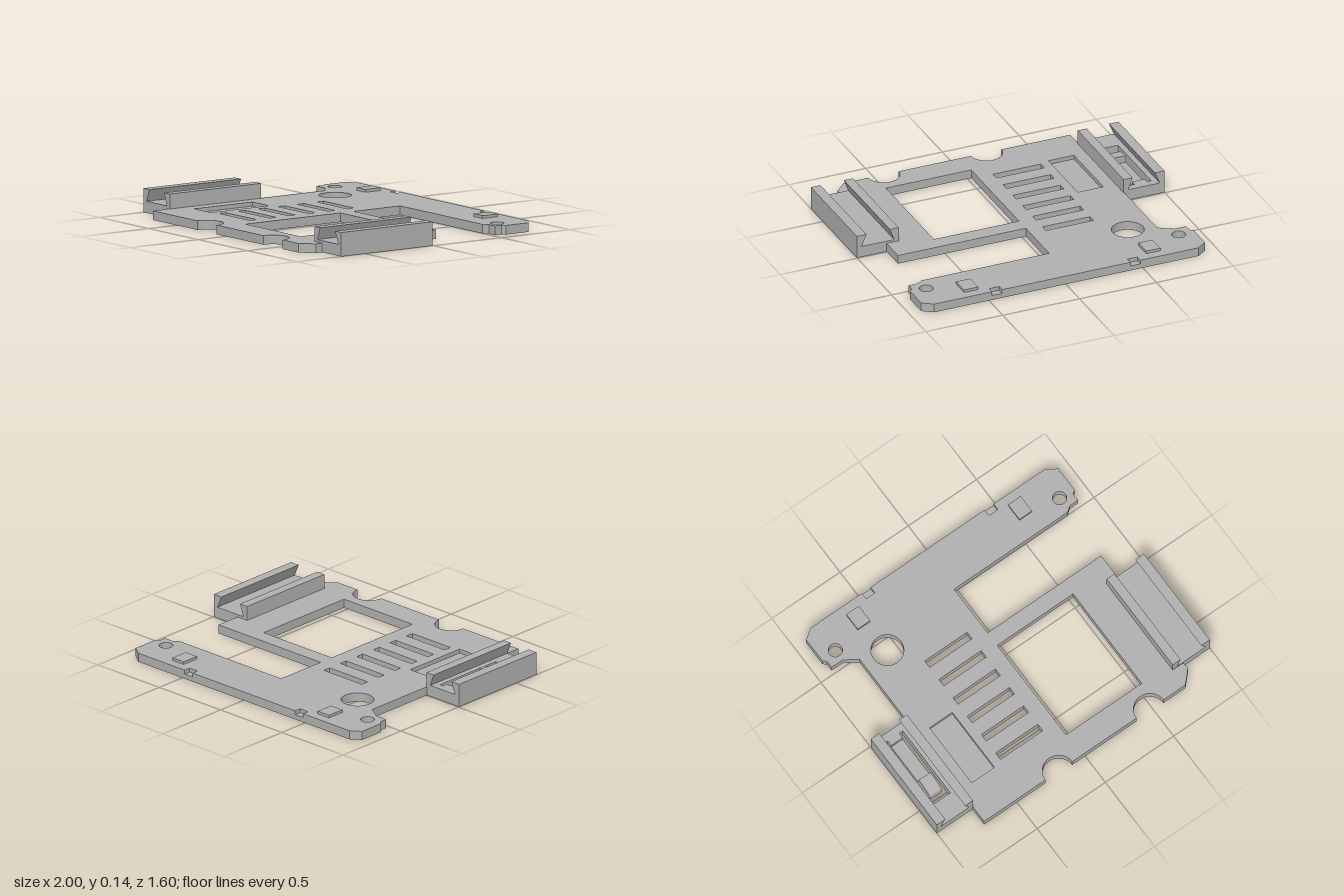
import * as THREE from 'three';

const T = 0.055;      // plate thickness
const FLOOR = 0.03;   // floor height of the shallow recesses
const FRONT = 0.795;

export function createModel() {
  const group = new THREE.Group();
  const grey = new THREE.MeshStandardMaterial({ color: 0xb0b0b0 });
  grey.name = 'plain grey';

  const add = (name, geometry, x = 0, y = 0, z = 0) => {
    const mesh = new THREE.Mesh(geometry, grey);
    mesh.name = name;
    mesh.position.set(x, y, z);
    group.add(mesh);
  };

  // Plan shapes take (x, z) and are extruded upwards
  const slab = (shape, depth) =>
    new THREE.ExtrudeGeometry(shape, { depth, bevelEnabled: false, curveSegments: 24 }).rotateX(-Math.PI / 2);
  const rect = (x0, x1, z0, z1, Type = THREE.Path) =>
    new Type([[x0, -z0], [x0, -z1], [x1, -z1], [x1, -z0]].map(p => new THREE.Vector2(...p)));
  const circle = (x, z, r) => new THREE.Path().absarc(x, -z, r, 0, Math.PI * 2);
  // Side profiles in (x, y) are extruded along z
  const profile = (points, depth) => new THREE.ExtrudeGeometry(
    new THREE.Shape(points.map(p => new THREE.Vector2(...p))), { depth, bevelEnabled: false });

  // Plate outline; the upper layer also has small notches in the back edge
  const outline = (notched) => {
    const s = new THREE.Shape();
    const line = (pts) => pts.forEach(([x, z]) => s.lineTo(x, -z));
    s.moveTo(-0.74, 0.47);
    line([[-0.74, FRONT]]);
    for (const x of [-0.193, 0.475]) {
      line([[x - 0.098, FRONT]]);
      s.absarc(x, -FRONT, 0.098, Math.PI, 0, true);
    }
    line([[0.735, FRONT], [0.807, 0.72], [0.807, -0.16], [-0.025, -0.16], [-0.025, -0.5],
      [0.807, -0.5], [0.84, -0.525], [0.9, -0.525], [0.9, -0.572], [0.922, -0.59],
      [0.922, -0.755], [0.858, -0.8]]);
    if (notched) {
      for (const [a, b] of [[0.48, 0.415], [-0.42, -0.485]])
        line([[a, -0.8], [a, -0.757], [b, -0.757], [b, -0.8]]);
    }
    line([[-0.862, -0.8], [-0.925, -0.755], [-0.925, -0.59], [-0.905, -0.572],
      [-0.905, -0.525], [-0.825, -0.525]]);
    s.closePath();

    // Window, round holes and ventilation slots
    s.holes.push(rect(-0.025, 0.53, -0.062, 0.635), circle(-0.572, -0.42, 0.098));
    for (const x of [-0.823, 0.82]) s.holes.push(circle(x, -0.6, 0.042));
    for (let i = 0; i < 6; i++) {
      const z = -0.234 + i * 0.1435;
      s.holes.push(rect(-0.432, -0.122, z, z + 0.05));
    }
    if (notched) s.holes.push(rect(-0.656, -0.49, 0.125, 0.553));
    return s;
  };
  add('lowerPlate', slab(outline(false), FLOOR));
  add('upperPlate', slab(outline(true), T - FLOOR), 0, FLOOR);

  // Raised pads near the back corners
  for (const x of [-0.595, 0.59])
    add('pad', new THREE.BoxGeometry(0.092, 0.03, 0.115), x, 0.057, -0.683);

  // Side rails: flat base and two undercut lips
  const Z0 = 0.005, LEN = 0.67, BASE = 0.07, TOP = 0.145;
  for (const side of [-1, 1]) {
    const name = side < 0 ? 'right' : 'left';
    const inner = side < 0 ? 0.735 : 0.728;
    const base = rect(Math.min(side * inner, side), Math.max(side * inner, side), Z0, Z0 + LEN, THREE.Shape);
    if (side < 0) base.holes.push(rect(-0.935, -0.8, 0.052, 0.535));
    add(name + 'RailBase', slab(base, BASE));
    const lips = {
      OuterLip: [[1, BASE], [1, TOP], [0.938, TOP], [0.97, BASE]],
      InnerLip: [[inner, BASE], [inner + 0.03, BASE], [inner + 0.058, TOP], [inner, TOP]],
    };
    for (const [lip, pts] of Object.entries(lips))
      add(name + lip, profile(pts.map(([x, y]) => [side * x, y]), LEN), 0, 0, Z0);
  }

  // Spring tongue with a rounded catch, profile in (z, y) turned across x
  const tongue = new THREE.Shape();
  tongue.moveTo(0.05, 0);
  tongue.lineTo(0.48, 0);
  tongue.lineTo(0.48, 0.05);
  tongue.quadraticCurveTo(0.46, 0.088, 0.365, 0.09);
  tongue.lineTo(0.365, 0.045);
  tongue.lineTo(0.087, 0.045);
  tongue.lineTo(0.087, BASE);
  tongue.lineTo(0.05, BASE);
  tongue.closePath();
  add('springTongue', new THREE.ExtrudeGeometry(tongue, { depth: 0.085, bevelEnabled: false })
    .rotateY(-Math.PI / 2), -0.825);

  return group;
}
